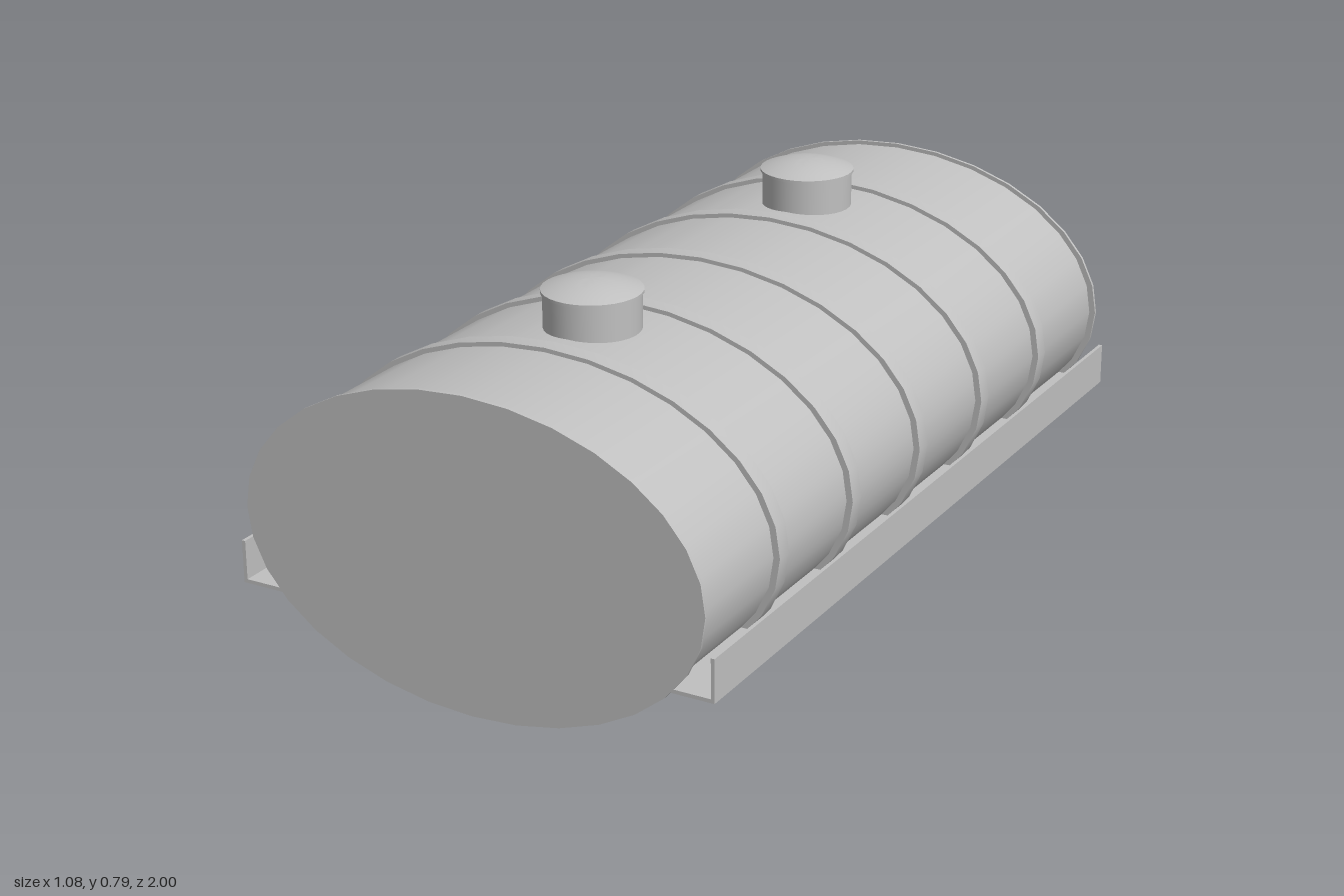
import * as THREE from 'three';
import { toCreasedNormals } from 'three/addons/utils/BufferGeometryUtils.js';

const CENTER_Y = 0.366, RATIO = 1.555, TANK_R = 0.326, BAND_R = 0.335;
const FRONT = 1, BACK = -0.86;

export function createModel() {
  const group = new THREE.Group();
  const steel = new THREE.MeshStandardMaterial({ color: 0xc0c0c0 });
  steel.name = 'grey steel';

  const add = (name, geometry, x = 0, y = 0, z = 0) => {
    const mesh = new THREE.Mesh(geometry, steel);
    mesh.name = name;
    mesh.position.set(x, y, z);
    group.add(mesh);
    return mesh;
  };
  // Lathe from [radius, height] pairs with crisp edges
  const lathe = (points, sides) =>
    new THREE.LatheGeometry(points.map(([r, h]) => new THREE.Vector2(r, h)), sides);
  // Elliptical solid lying along z
  const ellipseLathe = (points) => {
    const g = lathe(points, 32);
    g.rotateX(Math.PI / 2);
    g.scale(RATIO, 1, 1);
    return toCreasedNormals(g, 0.6);
  };

  // Oval tank with a thin raised rim at each end
  const rim = 0.007;
  add('tank', ellipseLathe([
    [0, BACK], [BAND_R, BACK], [BAND_R, BACK + rim], [TANK_R, BACK + rim],
    [TANK_R, FRONT - rim], [BAND_R, FRONT - rim], [BAND_R, FRONT], [0, FRONT],
  ]), 0, CENTER_Y, 0);

  // Saddle outline: sloped cradle below, tank curve above
  const saddleShape = new THREE.Shape();
  saddleShape.moveTo(-0.195, 0);
  saddleShape.lineTo(0.195, 0);
  saddleShape.lineTo(0.49, 0.16);
  saddleShape.lineTo(0.515, 0.195);
  const start = -0.553, end = -Math.PI + 0.553;
  for (let i = 0; i <= 20; i++) {
    const a = start + (end - start) * i / 20;
    saddleShape.lineTo(TANK_R * RATIO * Math.cos(a), CENTER_Y + TANK_R * Math.sin(a));
  }
  saddleShape.lineTo(-0.515, 0.195);
  saddleShape.lineTo(-0.49, 0.16);
  saddleShape.closePath();

  // Hoops and saddles at the same five stations
  const w = 0.038;
  const band = ellipseLathe([
    [TANK_R - 0.004, -w / 2], [BAND_R, -w / 2], [BAND_R, w / 2], [TANK_R - 0.004, w / 2],
  ]);
  const saddle = new THREE.ExtrudeGeometry(saddleShape, { depth: w, bevelEnabled: false });
  for (let i = 0; i < 5; i++) {
    const z = 0.692 - i * 0.308;
    add('hoop', band, 0, CENTER_Y, z);
    add('saddle', saddle, 0, 0, z - w / 2);
  }

  // Manholes with shallow domed lids
  const neck = new THREE.CylinderGeometry(0.1, 0.1, 0.1, 32, 1, true);
  const lidProfile = [[0.1, 0], [0.104, 0], [0.104, 0.006]];
  for (let i = 1; i <= 6; i++) {
    const t = i / 6;
    lidProfile.push([0.104 * (1 - t), 0.006 + 0.022 * (1 - (1 - t) ** 2)]);
  }
  const lid = toCreasedNormals(lathe(lidProfile, 32), 0.6);
  for (const z of [0.53, -0.39]) {
    add('manholeNeck', neck, 0, 0.713, z);
    add('manholeLid', lid, 0, 0.762, z);
  }

  // Angle-section rails along both sides
  const length = FRONT - BACK, midZ = (FRONT + BACK) / 2;
  for (const side of [-1, 1]) {
    add('railShelf', new THREE.BoxGeometry(0.108, 0.008, length), side * 0.484, 0.199, midZ);
    add('railLip', new THREE.BoxGeometry(0.008, 0.092, length), side * 0.536, 0.241, midZ);
  }

  // Equipment box on the rear end
  add('rearBox', new THREE.BoxGeometry(0.32, 0.212, 0.145), 0, 0.123, -0.9275);

  return group;
}
